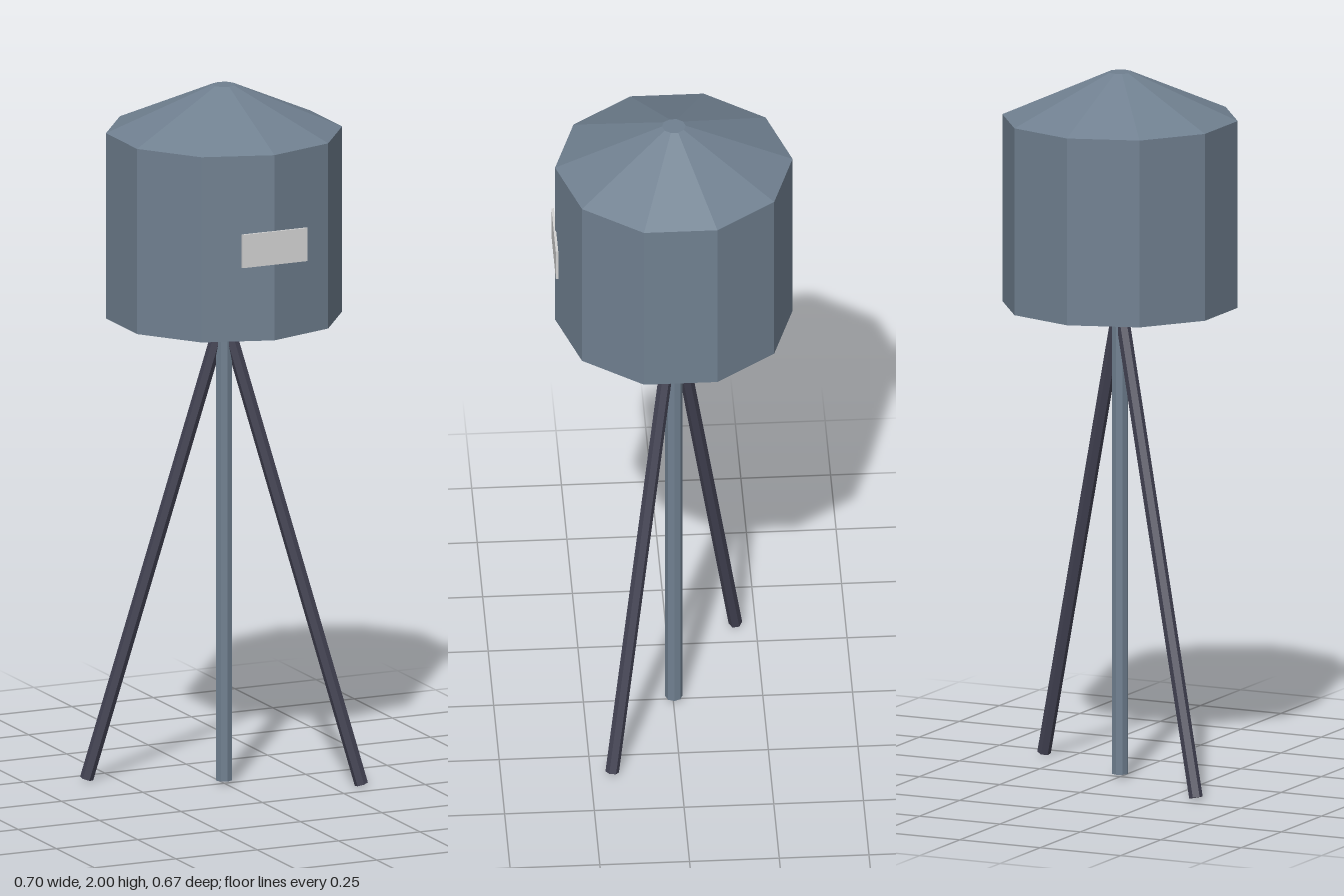
import * as THREE from 'three';

export function createModel() {
  const model = new THREE.Group();
  const mat = (name, color) => {
    const m = new THREE.MeshStandardMaterial({ color, flatShading: true });
    m.name = name;
    return m;
  };
  const slate = mat('slate', 0x708090);
  const darkMetal = mat('dark metal', 0x444455);
  const paleGrey = mat('pale grey', 0xd3d3d3);

  const add = (name, geometry, material, x, y, z) => {
    const mesh = new THREE.Mesh(geometry, material);
    mesh.name = name;
    mesh.position.set(x, y, z);
    model.add(mesh);
    return mesh;
  };
  const cz = -0.002; // axis of the housing

  // Ten-sided housing and its shallow roof
  add('housing', new THREE.CylinderGeometry(0.331, 0.331, 0.53, 10), slate, 0, 1.605, cz);
  add('roof', new THREE.CylinderGeometry(0.033, 0.331, 0.13, 10), slate, 0, 1.935, cz);

  // Thin plate on the front edge
  add('frontPlate', new THREE.BoxGeometry(0.2, 0.095, 0.007), paleGrey, 0, 1.605, 0.3295);

  // Central upright post
  add('post', new THREE.CylinderGeometry(0.024, 0.024, 1.335, 8), slate, 0, 0.6775, cz);

  // Two slanted struts on opposite sides
  const top = new THREE.Vector3(0, 1.345, cz);
  for (const side of [1, -1]) {
    const foot = new THREE.Vector3(side * 0.332, 0.0053, side * 0.192 + cz);
    const length = top.distanceTo(foot);
    const strut = add(side > 0 ? 'leftStrut' : 'rightStrut',
      new THREE.CylinderGeometry(0.019, 0.019, length, 6), darkMetal, 0, 0, 0);
    strut.position.copy(top).add(foot).multiplyScalar(0.5);
    const run = Math.hypot(foot.x, foot.z - cz);
    strut.rotation.order = 'YXZ';
    strut.rotation.y = Math.atan2(foot.x, foot.z - cz);
    strut.rotation.x = -Math.atan2(run, top.y - foot.y);
  }
  return model;
}
